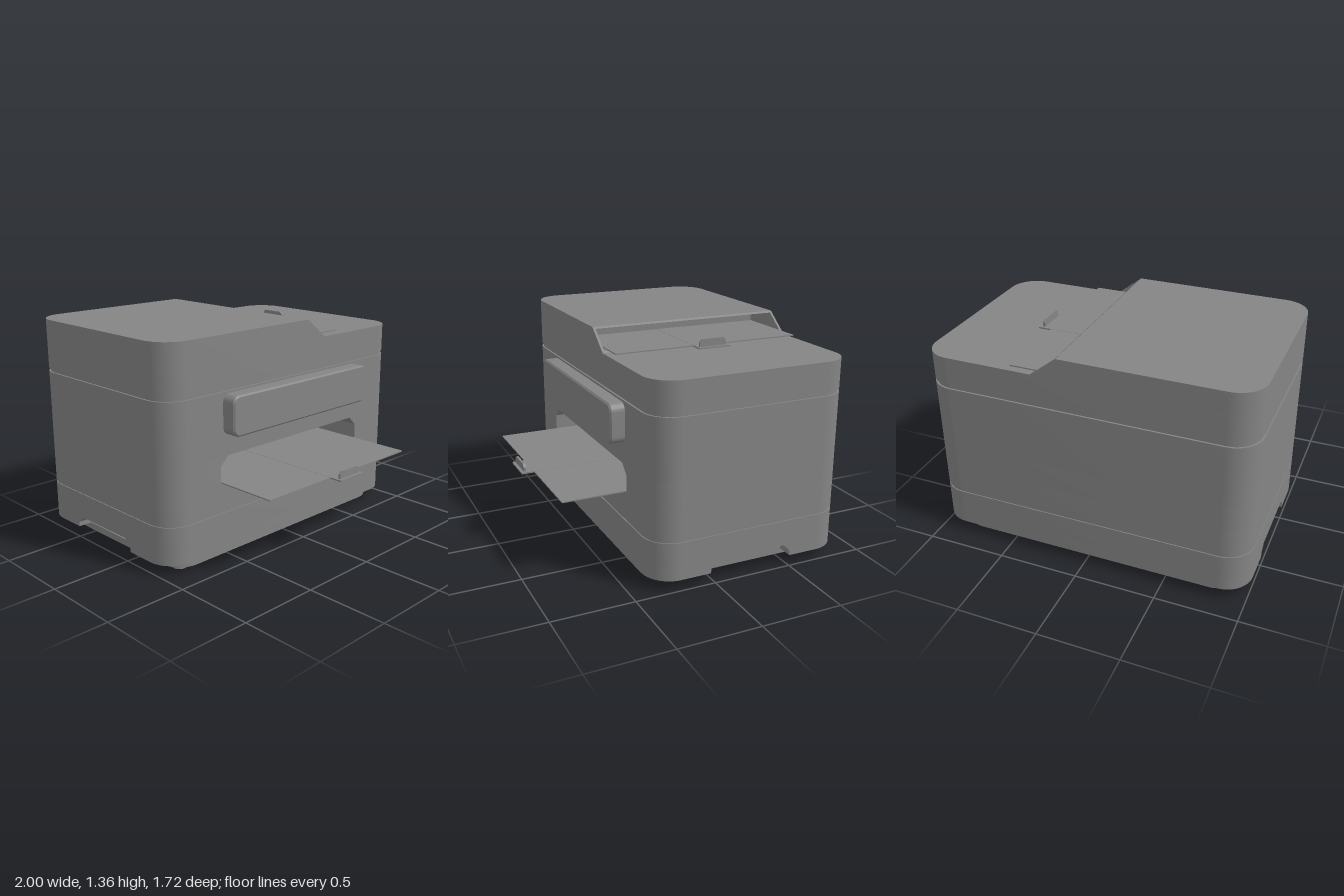
import * as THREE from 'three';
import { toCreasedNormals } from 'three/addons/utils/BufferGeometryUtils.js';

const FRONT = 0.39, BACK = -0.86; // z limits of the housing
const RADIUS = 0.17; // housing corner radius

export function createModel() {
  const model = new THREE.Group();
  const material = new THREE.MeshStandardMaterial({ color: 0x848484 });

  const add = (name, geometry, parent = model) => {
    const mesh = new THREE.Mesh(geometry, material);
    mesh.name = name;
    parent.add(mesh);
    return mesh;
  };
  const group = (name) => {
    const g = new THREE.Group();
    g.name = name;
    model.add(g);
    return g;
  };
  const box = (name, x0, x1, y0, y1, z0, z1, parent) =>
    add(name, new THREE.BoxGeometry(x1 - x0, y1 - y0, z1 - z0)
      .translate((x0 + x1) / 2, (y0 + y1) / 2, (z0 + z1) / 2), parent);
  const polygon = (points) => new THREE.Shape(points.map(([x, y]) => new THREE.Vector2(x, y)));
  const extrude = (shape, depth, options = {}) => toCreasedNormals(
    new THREE.ExtrudeGeometry(shape, { depth, bevelEnabled: false, curveSegments: 10, ...options }), 0.6);

  // Footprints are drawn with shape y = -z, then stood up
  const slab = (name, shape, y0, y1, parent) =>
    add(name, extrude(shape, y1 - y0).rotateX(-Math.PI / 2).translate(0, y0, 0), parent);
  // Profiles in (x, y), extruded along z
  const alongZ = (name, points, z0, z1, parent) =>
    add(name, extrude(polygon(points), z1 - z0).translate(0, 0, z0), parent);
  // Profiles in (z, y), extruded along x
  const alongX = (name, points, x0, x1, parent) =>
    add(name, extrude(polygon(points.map(([z, y]) => [-z, y])), x1 - x0)
      .rotateY(Math.PI / 2).translate(x0, 0, 0), parent);

  // Rounded rectangle with optional notches in the front and in both sides
  const footprint = (x0, x1, y0, y1, r, { front, sides } = {}) => {
    const s = new THREE.Shape();
    s.moveTo(x0 + r, y0);
    if (front) {
      s.lineTo(front.a, y0);
      s.lineTo(front.a, y0 + front.depth);
      s.lineTo(front.b, y0 + front.depth);
      s.lineTo(front.b, y0);
    }
    s.lineTo(x1 - r, y0);
    s.absarc(x1 - r, y0 + r, r, -Math.PI / 2, 0);
    if (sides) {
      s.lineTo(x1, sides.a);
      s.lineTo(x1 - sides.depth, sides.a);
      s.lineTo(x1 - sides.depth, sides.b);
      s.lineTo(x1, sides.b);
    }
    s.lineTo(x1, y1 - r);
    s.absarc(x1 - r, y1 - r, r, 0, Math.PI / 2);
    s.lineTo(x0 + r, y1);
    s.absarc(x0 + r, y1 - r, r, Math.PI / 2, Math.PI);
    if (sides) {
      s.lineTo(x0, sides.b);
      s.lineTo(x0 + sides.depth, sides.b);
      s.lineTo(x0 + sides.depth, sides.a);
      s.lineTo(x0, sides.a);
    }
    s.lineTo(x0, y0 + r);
    s.absarc(x0 + r, y0 + r, r, Math.PI, Math.PI * 1.5);
    return s;
  };
  const housing = (inset = 0, notches) =>
    footprint(-1 + inset, 1 - inset, -FRONT + inset, -BACK - inset, RADIUS - inset, notches);

  // Feet and bottom plate
  const feet = group('feet');
  for (const x of [-0.82, 0.787]) for (const z of [0.263, -0.705]) {
    add('foot', new THREE.CylinderGeometry(0.046, 0.046, 0.03, 24).translate(x, 0.015, z), feet);
  }
  slab('bottomPlate', footprint(-0.912, 0.882, -0.36, 0.822, 0.14), 0.025, 0.068);

  // Base with a chamfered hand grip in each side
  const base = group('base');
  const grip = { a: -0.03, b: 0.5, depth: 0.1 };
  slab('gripLayer', housing(0, { sides: grip }), 0.068, 0.142, base);
  slab('baseUpper', housing(), 0.142, 0.3, base);
  for (const x0 of [-1, 0.9]) {
    alongX('gripCorner', [[0.03, 0.097], [0.03, 0.142], [-0.015, 0.142]], x0, x0 + 0.1, base);
    alongX('gripCorner', [[-0.5, 0.097], [-0.455, 0.142], [-0.5, 0.142]], x0, x0 + 0.1, base);
  }
  slab('lowerSeam', housing(0.006), 0.3, 0.31);

  // Main body with the paper outlet in the front
  const body = group('body');
  const outlet = { a: -0.602, b: 0.625, depth: 0.35 };
  slab('bodyLower', housing(), 0.31, 0.485, body);
  slab('outletLayer', housing(0, { front: outlet }), 0.485, 0.648, body);
  slab('bodyUpper', housing(), 0.648, 1.03, body);
  for (const [x, s] of [[outlet.a, 1], [outlet.b, -1]]) {
    alongZ('outletCorner', [[x, 0.591], [x + s * 0.06, 0.648], [x, 0.648]],
      FRONT - outlet.depth, FRONT, body);
  }
  slab('upperSeam', housing(0.011), 1.03, 1.052);

  // Control panel with a chamfered front edge
  const panel = footprint(-0.57, 0.6, 0.785, 1.007, 0.038);
  add('controlPanel', extrude(panel, 0.09, {
    bevelEnabled: true, bevelSize: 0.01, bevelThickness: 0.01, bevelSegments: 1,
  }).translate(0, 0, 0.38));

  // Lid and the raised paper feeder with a sloping open mouth
  slab('lid', housing(), 1.052, 1.232);
  const feeder = group('feeder');
  const block = new THREE.Shape();
  block.moveTo(-0.1, -FRONT);
  block.lineTo(-0.1, -BACK);
  block.lineTo(-1 + RADIUS, -BACK);
  block.absarc(-1 + RADIUS, -BACK - RADIUS, RADIUS, Math.PI / 2, Math.PI);
  block.lineTo(-1, -FRONT + RADIUS);
  block.absarc(-1 + RADIUS, -FRONT + RADIUS, RADIUS, Math.PI, Math.PI * 1.5);
  slab('feederBlock', block, 1.232, 1.357, feeder);
  const end = [[-0.1, 1.232], [0.29, 1.232], [0.13, 1.357], [-0.1, 1.357]];
  alongZ('feederFrontWall', end, FRONT - 0.015, FRONT, feeder);
  alongZ('feederBackWall', end, BACK, BACK + 0.015, feeder);
  alongZ('feederMouth', [
    [-0.1, 1.232], [0.29, 1.232], [0.277, 1.242], [-0.09, 1.242],
    [-0.09, 1.347], [0.143, 1.347], [0.13, 1.357], [-0.1, 1.357],
  ], BACK + 0.015, FRONT - 0.015, feeder);

  // Paper trays, each with a central slider and an upright stop
  const stop = (a, b, y, h) => [
    [a, y], [b, y], [b, y + h - 0.018], [b - 0.018, y + h], [a + 0.018, y + h], [a, y + h - 0.018],
  ];

  const output = group('outputTray');
  box('trayPlate', -0.6, 0.625, 0.489, 0.496, 0.06, 0.782, output);
  box('traySlider', -0.09, 0.117, 0.4885, 0.497, 0.06, 0.86, output);
  alongZ('paperStop', stop(-0.075, 0.102, 0.497, 0.046), 0.828, 0.842, output);

  const input = group('inputTray');
  box('trayPlate', -0.08, 0.425, 1.25, 1.257, -0.84, 0.365, input);
  box('traySlider', -0.08, 0.505, 1.2495, 1.258, -0.34, -0.133, input);
  alongX('paperStop', stop(-0.322, -0.147, 1.258, 0.046), 0.47, 0.484, input);

  return model;
}
